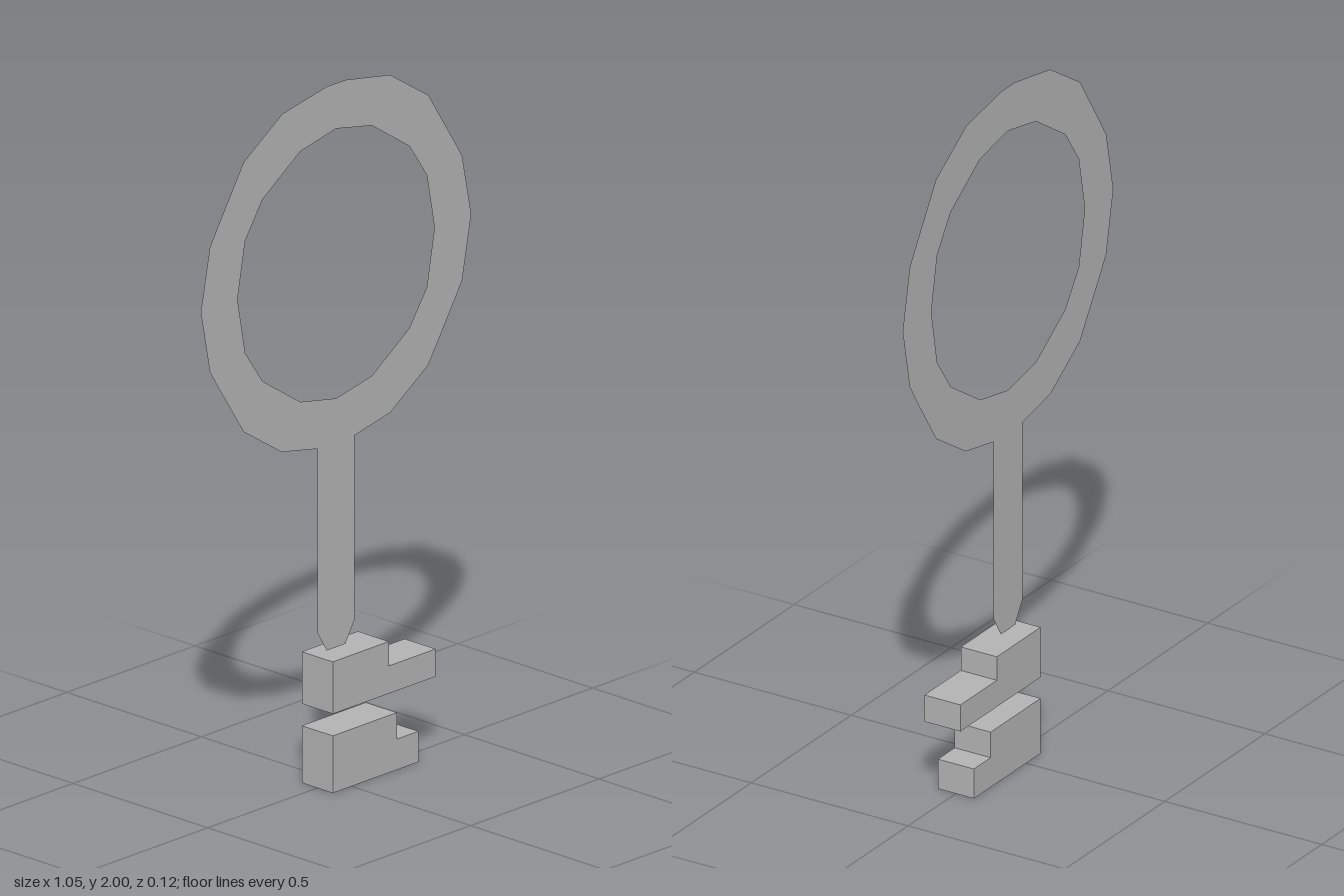
import * as THREE from 'three';

const grey = new THREE.MeshStandardMaterial({ color: 0xb2b2b2, side: THREE.DoubleSide });
grey.name = 'grey';

const points = (list) => list.map(([x, y]) => new THREE.Vector2(x, y));

// Closes a right-hand outline by mirroring it across x = 0
function mirrored(half) {
  const left = half.filter(([x]) => x > 0).reverse().map(([x, y]) => [-x, y]);
  return points([...half, ...left]);
}

function addMesh(group, name, geometry) {
  const mesh = new THREE.Mesh(geometry, grey);
  mesh.name = name;
  group.add(mesh);
}

// Stepped tooth block, extruded evenly about z = 0
function toothGeometry(bottom, step, top, stepX, endX) {
  const left = -0.073, depth = 0.115;
  const shape = new THREE.Shape(points([
    [left, bottom], [endX, bottom], [endX, step], [stepX, step], [stepX, top], [left, top],
  ]));
  return new THREE.ExtrudeGeometry(shape, { depth, bevelEnabled: false }).translate(0, 0, -depth / 2);
}

export function createModel() {
  const key = new THREE.Group();
  key.name = 'key';

  // Paper-thin ring handle and tapered shaft in one outline
  const handle = new THREE.Shape(mirrored([
    [0.036, 0.384], [0.073, 0.445], [0.073, 0.972], [0.212, 1.0], [0.36, 1.097],
    [0.463, 1.257], [0.492, 1.305], [0.527, 1.484], [0.492, 1.66], [0.463, 1.708],
    [0.36, 1.87], [0.21, 1.968], [0.037, 2.0],
  ]));
  handle.holes.push(new THREE.Path(mirrored([
    [0, 1.097], [0.139, 1.124], [0.286, 1.222], [0.354, 1.321], [0.384, 1.484],
    [0.354, 1.643], [0.286, 1.744], [0.139, 1.842], [0, 1.87],
  ])));
  addMesh(key, 'ringAndShaft', new THREE.ShapeGeometry(handle));

  // Two solid teeth, separated by gaps
  addMesh(key, 'upperTooth', toothGeometry(0.227, 0.306, 0.376, 0.146, 0.328));
  addMesh(key, 'lowerTooth', toothGeometry(0, 0.088, 0.164, 0.177, 0.261));

  return key;
}
